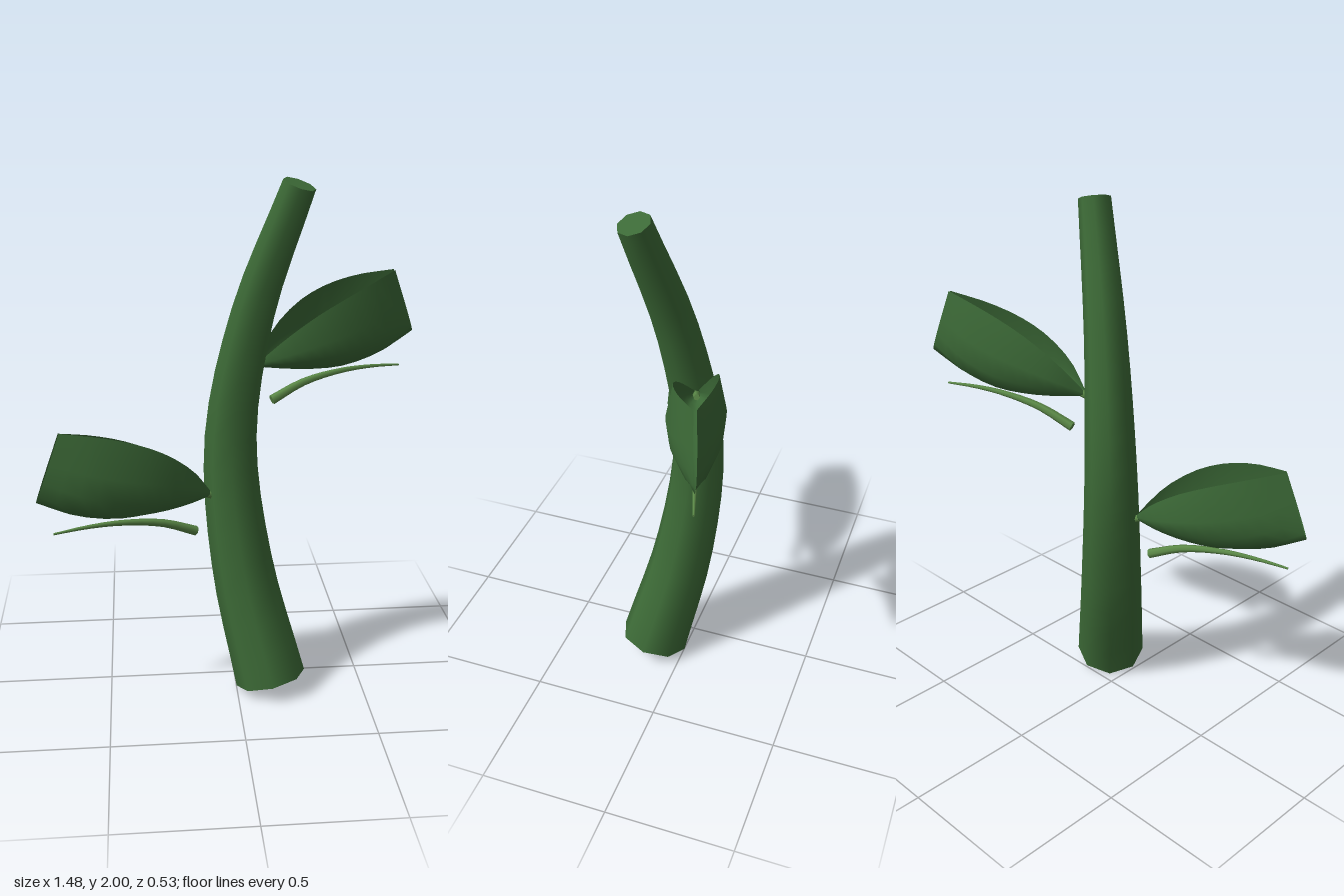
import * as THREE from 'three';

const V = (x, y, z) => new THREE.Vector3(x, y, z);

// Tapered, capped tube along a curve
function taperedTube(name, points, r0, r1, sides, steps, material) {
  const group = new THREE.Group();
  group.name = name;
  const curve = new THREE.CatmullRomCurve3(points);
  const geo = new THREE.TubeGeometry(curve, steps, 1, sides, false);
  const pos = geo.attributes.position;
  const p = V(0, 0, 0);
  const rings = [];
  for (let i = 0; i <= steps; i++) {
    const centre = curve.getPointAt(i / steps);
    const radius = r0 + (r1 - r0) * i / steps;
    const ring = [];
    for (let j = 0; j <= sides; j++) {
      const k = i * (sides + 1) + j;
      p.fromBufferAttribute(pos, k).sub(centre).multiplyScalar(radius).add(centre);
      pos.setXYZ(k, p.x, p.y, p.z);
      ring.push(p.clone());
    }
    rings.push({ centre, ring });
  }
  const side = new THREE.Mesh(geo, material);
  side.name = name + 'Side';
  group.add(side);

  // Flat end caps, each turned to face away from the tube
  [[rings[0], -1], [rings[steps], 1]].forEach(([{ centre, ring }, sign], n) => {
    const tangent = curve.getTangentAt(n).multiplyScalar(sign);
    const tris = [];
    for (let j = 0; j < sides; j++) {
      const a = ring[j], b = ring[j + 1];
      const facing = a.clone().sub(centre).cross(b.clone().sub(centre)).dot(tangent);
      tris.push(centre, ...(facing > 0 ? [a, b] : [b, a]));
    }
    const capGeo = new THREE.BufferGeometry().setFromPoints(tris);
    capGeo.computeVertexNormals();
    const cap = new THREE.Mesh(capGeo, material);
    cap.name = name + (n ? 'EndCap' : 'StartCap');
    group.add(cap);
  });
  return group;
}

// Folded leaf blade: a channel lofted between a keel line and two rims
function bladeGeometry() {
  const keel = new THREE.CatmullRomCurve3([
    V(0.1, 1.28, 0), V(0.2, 1.262, 0), V(0.32, 1.247, 0),
    V(0.45, 1.247, 0), V(0.6, 1.285, 0), V(0.74, 1.36, 0)]);
  // z holds the half width of the blade
  const rim = new THREE.CatmullRomCurve3([
    V(0.1, 1.305, 0.01), V(0.18, 1.4, 0.07), V(0.29, 1.485, 0.1),
    V(0.4, 1.54, 0.1), V(0.52, 1.58, 0.07), V(0.65, 1.61, 0.007)]);
  const half = [[0, 0], [0.55, 0.09], [0.9, 0.28], [1, 0.55], [0.75, 1]];
  const section = [...half.slice(1).reverse().map(([w, h]) => [-w, h]), ...half];
  const steps = 12, cols = section.length, verts = [], index = [];
  for (let i = 0; i <= steps; i++) {
    const k = keel.getPoint(i / steps), r = rim.getPoint(i / steps);
    for (const [w, h] of section) {
      const x = k.x + (r.x - k.x) * h;
      const s = w * r.z;
      const along = (x - 0.1) / 0.95;
      verts.push(x + 0.31 * s, k.y + (r.y - k.y) * h - 0.22 * s * h, -0.045 - 0.32 * along + 0.95 * s);
    }
  }
  for (let i = 0; i < steps; i++) {
    for (let j = 0; j < cols - 1; j++) {
      const a = i * cols + j, b = a + cols;
      index.push(a, b, a + 1, b, b + 1, a + 1);
    }
  }
  const geo = new THREE.BufferGeometry();
  geo.setAttribute('position', new THREE.Float32BufferAttribute(verts, 3));
  geo.setIndex(index);
  geo.computeVertexNormals();
  return geo;
}

export function createModel() {
  const model = new THREE.Group();
  model.name = 'leafyStem';
  const stemGreen = new THREE.MeshStandardMaterial({ color: 0x3d6b37 });
  stemGreen.name = 'stemGreen';
  const leafGreen = new THREE.MeshStandardMaterial({ color: 0x3b6836, side: THREE.DoubleSide });
  leafGreen.name = 'leafGreen';
  const veinGreen = new THREE.MeshStandardMaterial({ color: 0x5c8a48 });
  veinGreen.name = 'veinGreen';

  // Bowed main stem
  model.add(taperedTube('stem', [
    V(0.135, 0.04, 0.13), V(0.03, 0.5, 0.03), V(-0.012, 1, -0.015),
    V(0.065, 1.5, 0.035), V(0.218, 1.98, 0.13)], 0.139, 0.061, 8, 16, stemGreen));

  // Two leaves, the lower one turned half way round the stem
  const blade = bladeGeometry();
  [['upperLeaf', 0, 0], ['lowerLeaf', Math.PI, -0.485]].forEach(([name, turn, drop]) => {
    const leaf = new THREE.Group();
    leaf.name = name;
    const mesh = new THREE.Mesh(blade, leafGreen);
    mesh.name = 'blade';
    leaf.add(mesh);
    leaf.add(taperedTube('petiole', [
      V(0.02, 1.24, -0.01), V(0.07, 1.275, -0.03), V(0.13, 1.295, -0.055)], 0.022, 0.012, 6, 4, veinGreen));
    // Slender rib arching under the blade
    leaf.add(taperedTube('rib', [
      V(0.152, 1.143, -0.06), V(0.28, 1.199, -0.105), V(0.43, 1.227, -0.155),
      V(0.56, 1.232, -0.197), V(0.685, 1.225, -0.237)], 0.019, 0.004, 6, 12, veinGreen));
    leaf.rotation.y = turn;
    leaf.position.y = drop;
    model.add(leaf);
  });
  return model;
}
